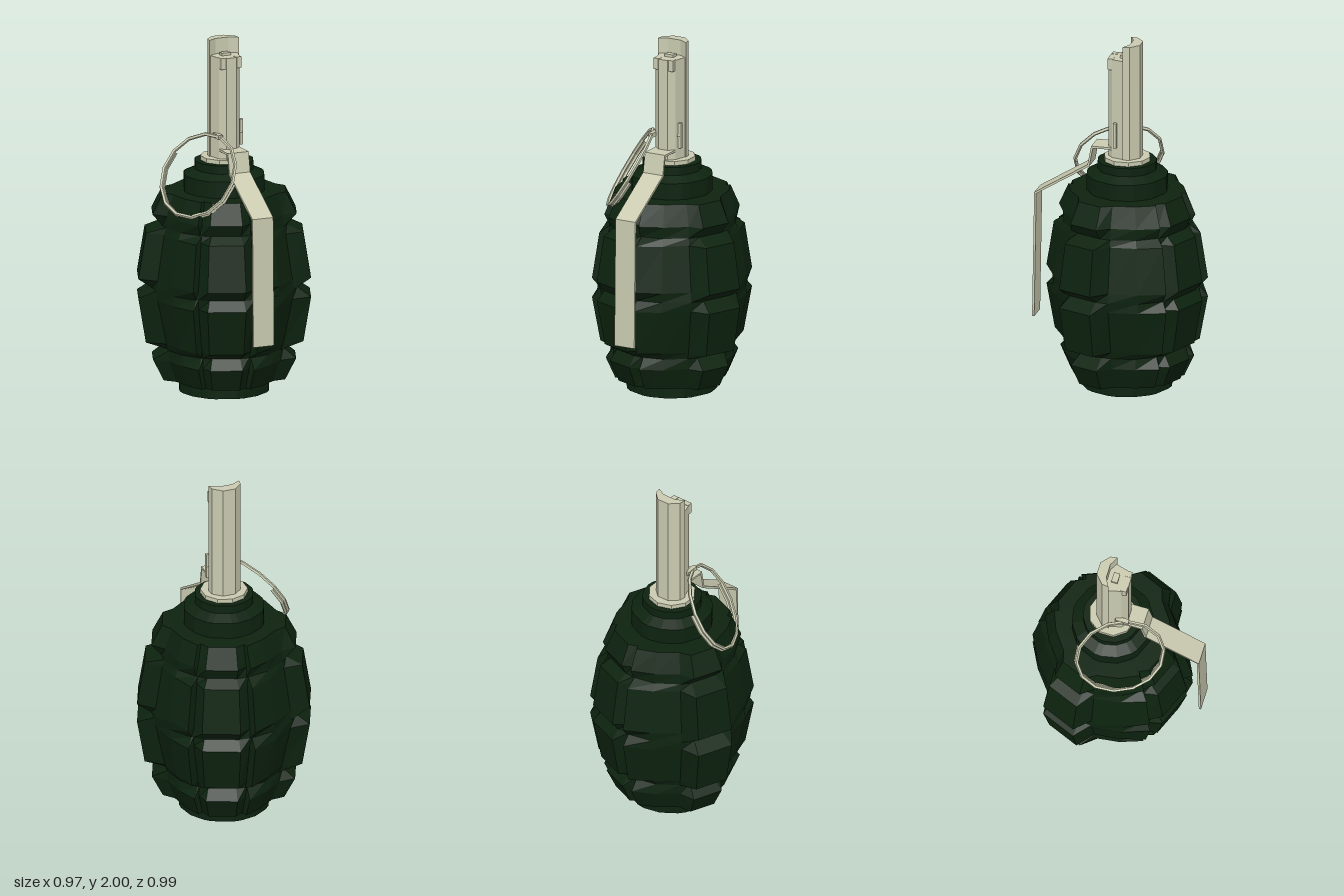
import * as THREE from 'three';

const green = new THREE.MeshStandardMaterial({ color: 0x0d230f });
green.name = 'dark green';
const metal = new THREE.MeshStandardMaterial({ color: 0xcacbb0 });
metal.name = 'pale metal';
green.flatShading = metal.flatShading = true;

const AXIS_Z = -0.035; // the body sits slightly behind the centre

function part(name, geometry, material) {
  const mesh = new THREE.Mesh(geometry, material);
  mesh.name = name;
  return mesh;
}

// Outline of [x, z] points raised from y0 to y1
function prism(points, y0, y1) {
  const shape = new THREE.Shape(points.map(([x, z]) => new THREE.Vector2(x, -z)));
  return new THREE.ExtrudeGeometry(shape, { depth: y1 - y0, bevelEnabled: false })
    .rotateX(-Math.PI / 2).translate(0, y0, 0);
}

function box(x0, x1, y0, y1, z0, z1) {
  return new THREE.BoxGeometry(x1 - x0, y1 - y0, z1 - z0)
    .translate((x0 + x1) / 2, (y0 + y1) / 2, (z0 + z1) / 2);
}

// Segmented body: rings of varying radius with uneven lobes between grooves
function bodyGeometry() {
  // [angle, bulge], repeated after a half turn
  const half = [[0, 0], [10, 1], [35, 1], [45, 0], [68, 0.15], [88.5, 0.65],
    [90, 0], [99, 0.6], [126, 0.6], [135, 0], [136.5, 0.6], [157, 0.15]];
  const lobes = [...half, ...half.map(([a, k]) => [a + 180, k])];
  // [height, groove radius, lobe radius]
  const rows = [
    [0, 0, 0], [0, 0.255, 0.255], [0.06, 0.255, 0.255],
    [0.067, 0.29, 0.345], [0.19, 0.335, 0.407], [0.25, 0.335, 0.335],
    [0.29, 0.35, 0.448], [0.545, 0.405, 0.491], [0.6, 0.412, 0.412],
    [0.655, 0.405, 0.491], [0.915, 0.365, 0.448], [0.955, 0.355, 0.355],
    [1.02, 0.35, 0.41], [1.14, 0.31, 0.35], [1.142, 0.227, 0.227],
    [1.235, 0.227, 0.227], [1.265, 0.165, 0.165], [1.312, 0.165, 0.165], [1.312, 0, 0],
  ];
  const positions = [], index = [], n = lobes.length;
  rows.forEach(([y, core, outer], i) => lobes.forEach(([deg, k], j) => {
    const r = core + (outer - core) * k, a = THREE.MathUtils.degToRad(deg);
    positions.push(r * Math.cos(a), y, AXIS_Z + r * Math.sin(a));
    if (i === rows.length - 1) return;
    const p = i * n + j, q = i * n + (j + 1) % n;
    index.push(p, p + n, q, q, p + n, q + n);
  }));
  const g = new THREE.BufferGeometry();
  g.setAttribute('position', new THREE.Float32BufferAttribute(positions, 3));
  g.setIndex(index);
  const flat = g.toNonIndexed();
  flat.computeVertexNormals();
  return flat;
}

// Safety lever: a thin bent strip, profile in [z, y]
function leverGeometry() {
  const t = 0.012;
  const path = [[0.03, 1.392], [0.155, 1.392], [0.177, 1.28], [0.483, 1.09], [0.495, 0.36]];
  const inner = [[0.483, 0.36], [0.471, 1.083], [0.166, 1.272], [0.146, 1.392 - t], [0.03, 1.392 - t]];
  const shape = new THREE.Shape([...path, ...inner].map(([z, y]) => new THREE.Vector2(z, y)));
  return new THREE.ExtrudeGeometry(shape, { depth: 0.126, bevelEnabled: false })
    .rotateY(-Math.PI / 2).translate(0.063, 0, 0);
}

// Split pull ring: one full coil and one partial coil lying beside it
function pullRing() {
  const u = new THREE.Vector3(0.135, 0.205, 0).normalize();
  const v = new THREE.Vector3(0.08, -0.06, 0.24);
  v.addScaledVector(u, -v.dot(u)).normalize();
  const w = new THREE.Vector3().crossVectors(u, v);
  const ring = new THREE.Group();
  ring.name = 'pullRing';
  ring.add(part('fullCoil', new THREE.TorusGeometry(0.245, 0.011, 5, 14), metal));
  const coil = part('partialCoil',
    new THREE.TorusGeometry(0.245, 0.011, 5, 8, Math.PI * 1.14).rotateZ(Math.PI * 0.43), metal);
  coil.position.z = 0.02;
  ring.add(coil);
  ring.quaternion.setFromRotationMatrix(new THREE.Matrix4().makeBasis(u, v, w));
  ring.position.set(-0.205, 1.262, 0.07);
  return ring;
}

export function createModel() {
  const model = new THREE.Group();
  model.name = 'segmentedCanister';
  model.add(part('body', bodyGeometry(), green));

  // Collar and fuse tube
  model.add(part('collar',
    new THREE.CylinderGeometry(0.132, 0.132, 0.028, 10).translate(0, 1.322, AXIS_Z), metal));
  model.add(part('fuseTube', prism([[-0.083, -0.04], [-0.064, 0.035], [-0.03, 0.065],
    [0.03, 0.065], [0.064, 0.035], [0.083, -0.04], [0.05, -0.075], [-0.05, -0.075]], 1.33, 1.912), metal));

  // Taller curved shell behind the tube
  model.add(part('rearShell', prism([[-0.09, -0.033], [-0.085, -0.072], [-0.036, -0.117],
    [0.036, -0.117], [0.085, -0.072], [0.09, -0.033], [0.04, -0.06], [-0.04, -0.06]], 1.33, 2), metal));

  // Striker tip and small side clips
  model.add(part('strikerTip', box(-0.028, 0.028, 1.85, 1.927, -0.035, 0), metal));
  for (const s of [-1, 1]) {
    const x = s * 0.045;
    model.add(part('topClip', box(x - 0.017, x + 0.017, 1.85, 1.914, 0.03, 0.062), metal));
  }

  // Pin through the tube with its ends spread apart
  model.add(part('pin', new THREE.CylinderGeometry(0.011, 0.011, 0.17, 6)
    .rotateZ(Math.PI / 2).translate(0, 1.47, 0.013), metal));
  model.add(part('pinEnds', box(0.07, 0.09, 1.4, 1.545, 0.004, 0.022), metal));
  model.add(part('pinEye', box(-0.085, -0.06, 1.455, 1.48, 0.005, 0.08), metal));

  model.add(part('lever', leverGeometry(), metal));
  model.add(pullRing());
  return model;
}
